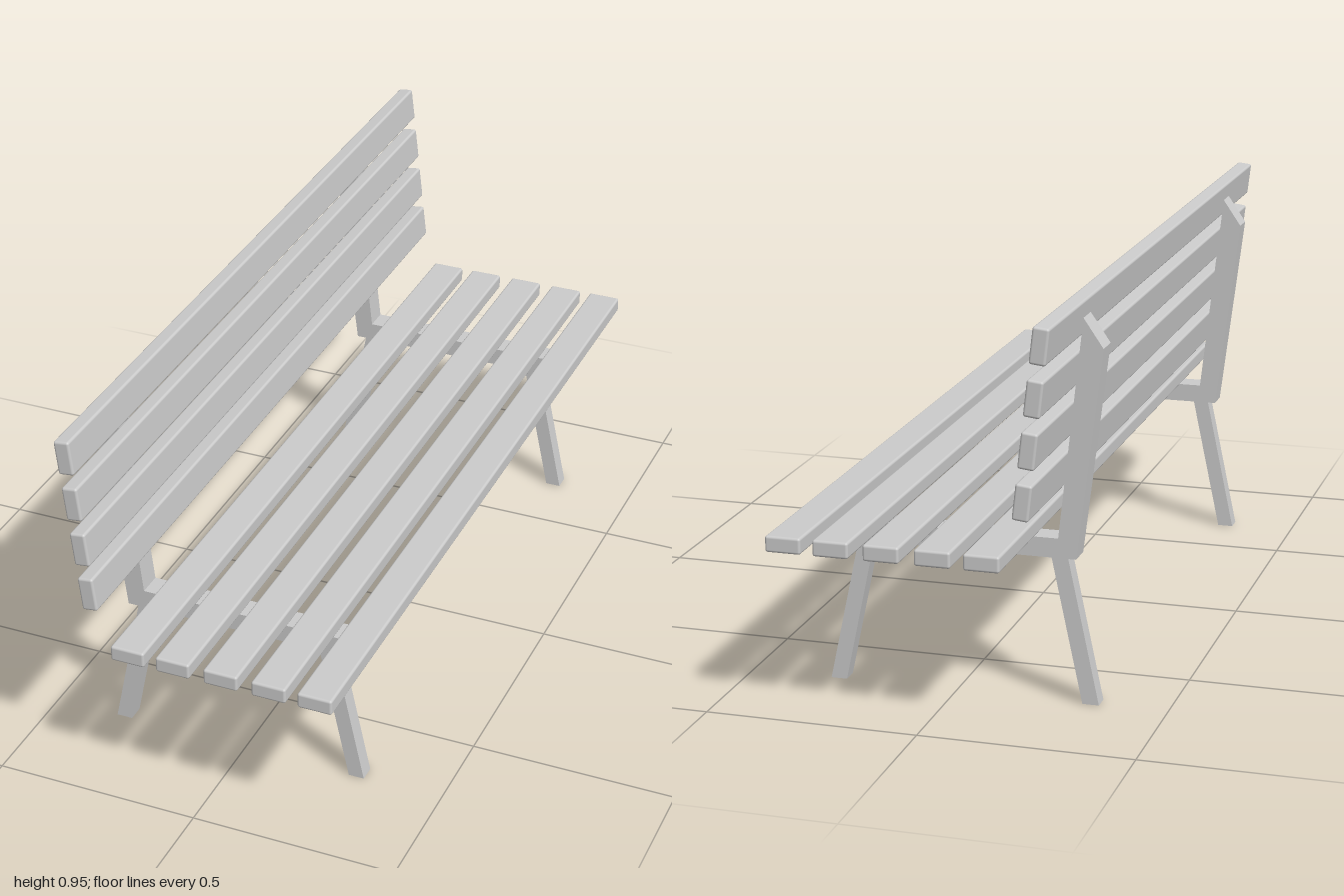
import * as THREE from 'three';
import { RoundedBoxGeometry } from 'three/addons/geometries/RoundedBoxGeometry.js';

const material = new THREE.MeshStandardMaterial({ color: 0xcccccc });

// Extrude an x-y outline to a given width, centred on z
function plank(name, points, width, z) {
  const shape = new THREE.Shape(points.map(([x, y]) => new THREE.Vector2(x, y)));
  const geometry = new THREE.ExtrudeGeometry(shape, { depth: width, bevelEnabled: false });
  geometry.translate(0, 0, z - width / 2);
  const mesh = new THREE.Mesh(geometry, material);
  mesh.name = name;
  return mesh;
}

export function createModel() {
  const bench = new THREE.Group();
  bench.name = 'bench';

  // Side frames: angled seat rail and backrest post in one piece, plus two splayed legs
  const frameOutline = [
    [-0.288, 0.347], [0.25, 0.347], [0.318, 0.393],
    [-0.246, 0.393], [-0.303, 0.905], [-0.349, 0.838],
  ];
  const rearLeg = [[-0.34, 0], [-0.301, 0], [-0.227, 0.348], [-0.266, 0.348]];
  const frontLeg = [[0.268, 0], [0.306, 0], [0.232, 0.348], [0.194, 0.348]];
  for (const side of [1, -1]) {
    const frame = new THREE.Group();
    frame.name = side > 0 ? 'frontEndFrame' : 'rearEndFrame';
    const z = side * 0.695;
    frame.add(
      plank('seatAndBackSupport', frameOutline, 0.06, z),
      plank('backLeg', rearLeg, 0.04, z),
      plank('frontLeg', frontLeg, 0.04, z),
    );
    bench.add(frame);
  }

  // Long slats with softened edges
  const slatGeometry = new RoundedBoxGeometry(0.083, 0.038, 2, 3, 0.006);
  function addSlat(name, x, y, angle) {
    const slat = new THREE.Mesh(slatGeometry, material);
    slat.name = name;
    slat.position.set(x, y, 0);
    slat.rotation.z = angle;
    bench.add(slat);
  }

  // Seat
  [-0.151, -0.039, 0.079, 0.196, 0.307].forEach((x, i) => addSlat(`seatSlat${i + 1}`, x, 0.412, 0));

  // Leaning backrest
  for (let i = 0; i < 4; i++) {
    addSlat(`backSlat${i + 1}`, -0.243 - i * 0.0128, 0.557 + i * 0.1157, Math.PI / 2 + 0.115);
  }
  return bench;
}
